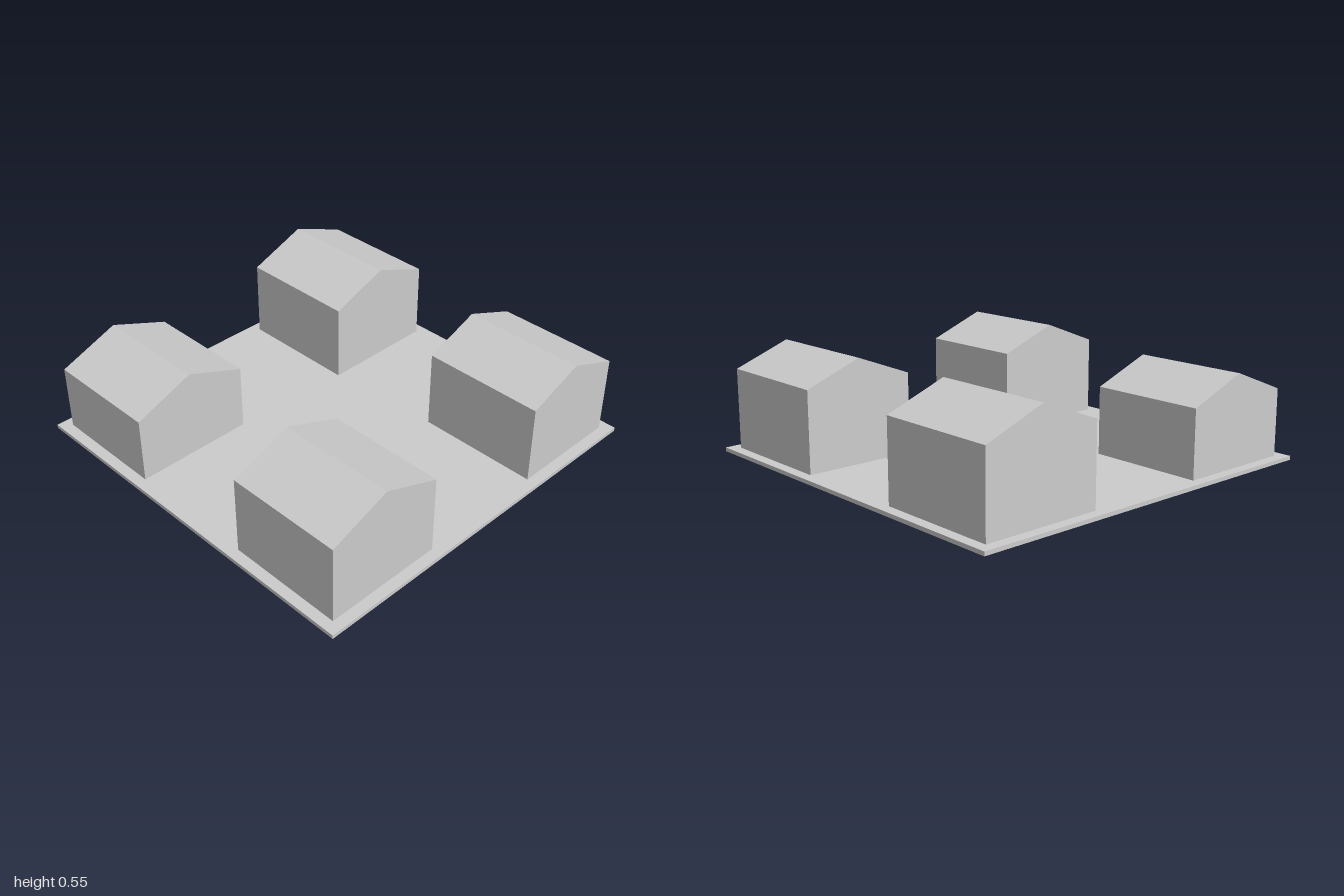
import * as THREE from 'three';

const grey = new THREE.MeshStandardMaterial({ color: 0xcccccc });
grey.name = 'plainGrey';

const BASE = 0.02;

// Gabled block with its ridge running along x
function house(name, x0, x1, z0, z1, eave, ridge) {
  const mid = (z0 + z1) / 2;
  const gable = new THREE.Shape([
    new THREE.Vector2(-z1, BASE),
    new THREE.Vector2(-z0, BASE),
    new THREE.Vector2(-z0, eave),
    new THREE.Vector2(-mid, ridge),
    new THREE.Vector2(-z1, eave),
  ]);
  const geometry = new THREE.ExtrudeGeometry(gable, { depth: x1 - x0, bevelEnabled: false });
  geometry.rotateY(Math.PI / 2).translate(x0, 0, 0);
  const mesh = new THREE.Mesh(geometry, grey);
  mesh.name = name;
  return mesh;
}

export function createModel() {
  const model = new THREE.Group();
  model.name = 'houseCluster';

  // Square ground slab
  const slab = new THREE.Mesh(new THREE.BoxGeometry(2, BASE, 2), grey);
  slab.name = 'groundSlab';
  slab.position.y = BASE / 2;
  model.add(slab);

  // One house near each corner: x range, z range, eave and ridge heights
  model.add(
    house('frontRightHouse', -0.945, -0.342, 0.322, 0.943, 0.362, 0.482),
    house('frontLeftHouse', 0.338, 0.943, 0.322, 0.943, 0.425, 0.545),
    house('backRightHouse', -0.945, -0.308, -0.945, -0.325, 0.425, 0.545),
    house('backLeftHouse', 0.305, 0.943, -0.945, -0.363, 0.428, 0.541),
  );
  return model;
}
